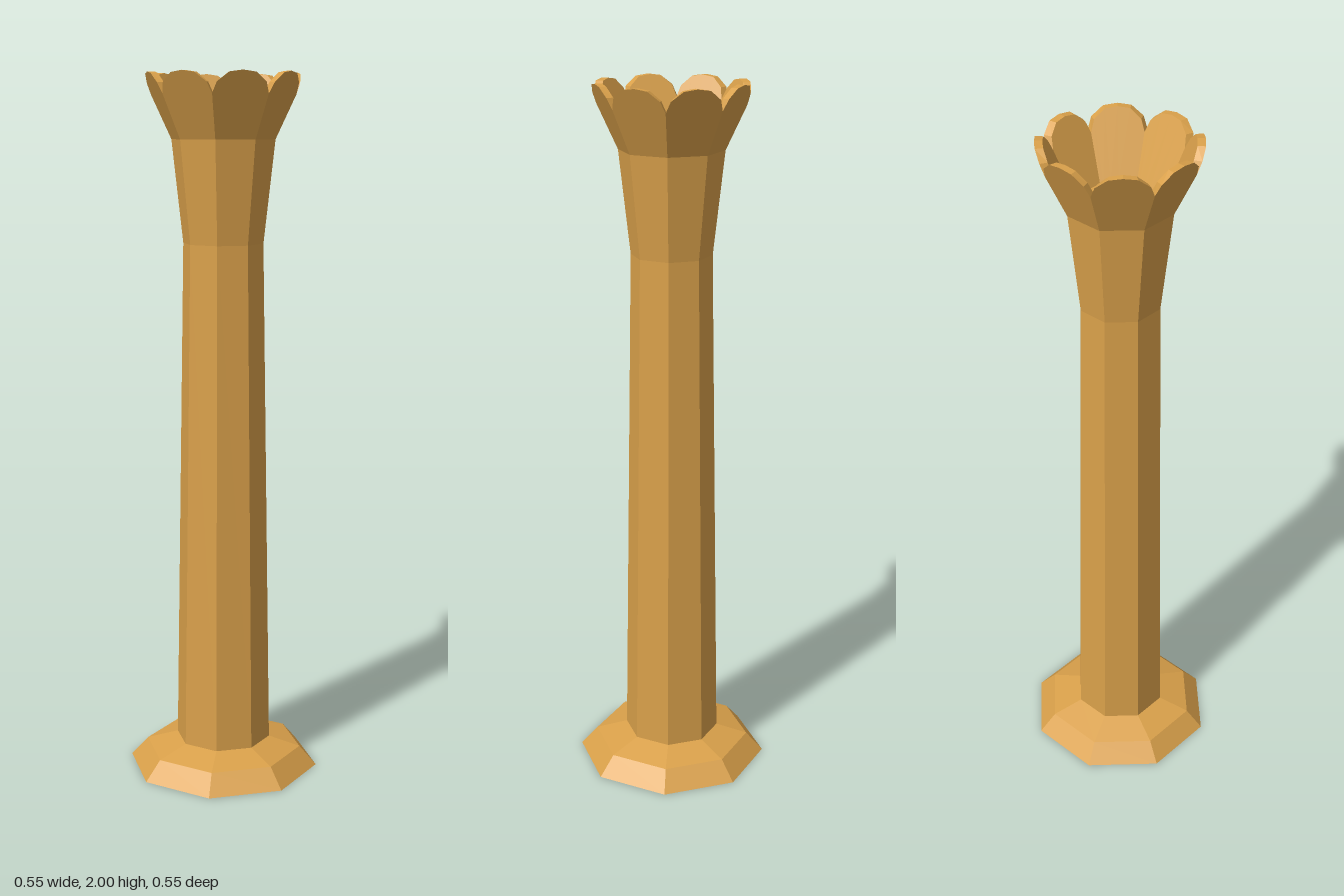
import * as THREE from 'three';

const SIDES = 8;
const TAN = Math.tan(Math.PI / SIDES);
const material = new THREE.MeshStandardMaterial({ color: 0xd9a04a, flatShading: true });

function add(parent, name, geometry) {
  const mesh = new THREE.Mesh(geometry, material);
  mesh.name = name;
  parent.add(mesh);
  return mesh;
}

// Eight-sided turned shape from [radius, height] pairs, bottom to top
const turned = (profile) =>
  new THREE.LatheGeometry(profile.map(([r, y]) => new THREE.Vector2(r, y)), SIDES);

// One flaring petal facing +z: outer wall, inner wall and scalloped rim
function petalGeometry() {
  const bottom = 1.82;
  const outer = (y) => 0.134 + (y - bottom) * 0.433;
  const inner = (y) => 0.1155 + (y - bottom) * 0.42;
  const arch = [[-1, 1.94], [-0.82, 1.97], [-0.42, 1.995], [0, 2], [0.42, 1.995], [0.82, 1.97], [1, 1.94]];
  const point = (depth, f, y) => [depth(y) * TAN * f, y, depth(y)];
  const positions = [];
  const quad = (a, b, c, d) => positions.push(...a, ...b, ...c, ...a, ...c, ...d);

  for (let i = 0; i < arch.length - 1; i++) {
    const [f0, y0] = arch[i];
    const [f1, y1] = arch[i + 1];
    const o0 = point(outer, f0, y0), o1 = point(outer, f1, y1);
    const n0 = point(inner, f0, y0), n1 = point(inner, f1, y1);
    quad(point(outer, f0, bottom), point(outer, f1, bottom), o1, o0);
    quad(point(inner, f1, bottom), point(inner, f0, bottom), n0, n1);
    quad(o0, o1, n1, n0);
  }
  const geometry = new THREE.BufferGeometry();
  geometry.setAttribute('position', new THREE.Float32BufferAttribute(positions, 3));
  geometry.computeVertexNormals();
  return geometry;
}

export function createModel() {
  const column = new THREE.Group();
  column.name = 'column';

  // Stepped foot with a closed underside
  add(column, 'base', turned([[0, 0], [0.277, 0], [0.228, 0.055], [0.137, 0.082]]));

  // Tapering shaft and the lower flare of the capital
  add(column, 'shaft', turned([[0.137, 0.082], [0.113, 1.535]]));
  add(column, 'flare', turned([[0.113, 1.535], [0.145, 1.82]]));

  // Ring of petals forming the cup
  const capital = new THREE.Group();
  capital.name = 'capital';
  column.add(capital);
  const petal = petalGeometry();
  for (let i = 0; i < SIDES; i++) {
    add(capital, 'petal', petal).rotation.y = ((i + 0.5) * 2 * Math.PI) / SIDES;
  }

  // Floor inside the cup
  const floor = add(capital, 'cupFloor', new THREE.CircleGeometry(0.125, SIDES));
  floor.rotation.x = -Math.PI / 2;
  floor.position.y = 1.82;

  return column;
}
